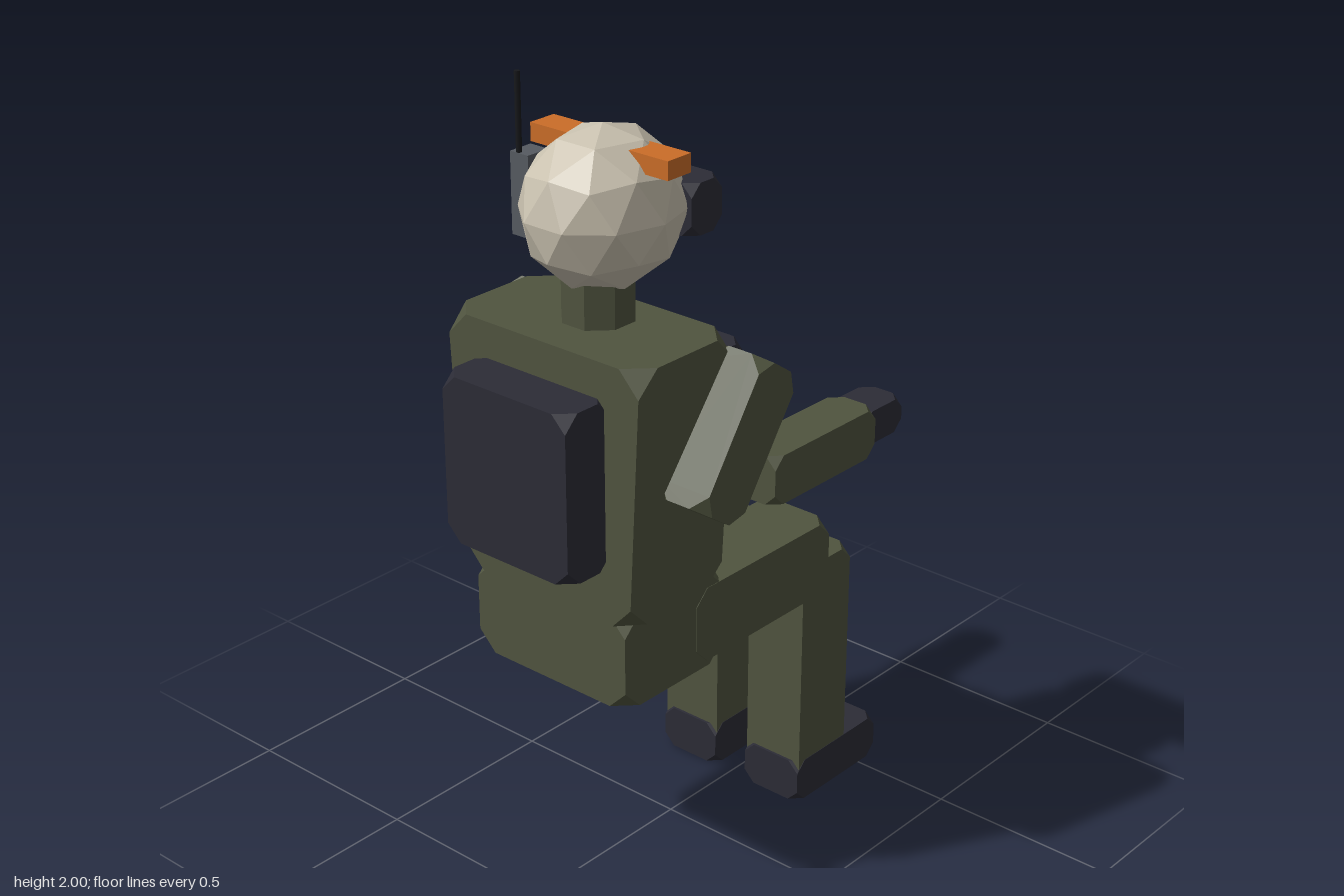
import * as THREE from 'three';
import { ConvexGeometry } from 'three/addons/geometries/ConvexGeometry.js';

const mat = (name, color) => {
  const m = new THREE.MeshStandardMaterial({ color });
  m.name = name;
  return m;
};

// Box between two corners with its eight corners cut off; taper narrows the bottom in x
function cutBox(min, max, cut, taper = 1) {
  const c = min.map((v, i) => (v + max[i]) / 2);
  const h = min.map((v, i) => (max[i] - v) / 2);
  const points = [];
  for (const sx of [-1, 1]) for (const sy of [-1, 1]) for (const sz of [-1, 1]) {
    for (let axis = 0; axis < 3; axis++) {
      const p = [sx * h[0], sy * h[1], sz * h[2]];
      p[axis] -= Math.sign(p[axis]) * cut;
      const t = p[1] / h[1] * 0.5 + 0.5;
      p[0] *= taper + (1 - taper) * t;
      points.push(new THREE.Vector3(...p));
    }
  }
  const g = new ConvexGeometry(points);
  g.userData.center = c;
  return g;
}

export function createModel() {
  const model = new THREE.Group();
  model.name = 'seatedFigure';

  const green = mat('olive cloth', 0x50543f);
  const dark = mat('dark gear', 0x2c2c36);
  const bone = mat('pale helmet', 0xc9c1af);
  const orange = mat('orange marker', 0xcb6d28);
  const grey = mat('grey metal', 0x565b61);
  const black = mat('black antenna', 0x17181b);

  const add = (name, geometry, material, pos) => {
    const mesh = new THREE.Mesh(geometry, material);
    mesh.name = name;
    mesh.position.set(...pos);
    model.add(mesh);
    return mesh;
  };
  const block = (name, material, min, max, cut, taper) => {
    const g = cutBox(min, max, cut, taper);
    return add(name, g, material, g.userData.center);
  };
  const plain = (name, material, min, max) => add(name,
    new THREE.BoxGeometry(...min.map((v, i) => max[i] - v)), material,
    min.map((v, i) => (v + max[i]) / 2));

  // Body
  block('torso', green, [-0.295, 0.81, 0.12], [0.295, 1.46, 0.44], 0.06, 0.885);
  block('pelvis', green, [-0.237, 0.585, 0.08], [0.237, 0.83, 0.43], 0.05);
  block('chestVest', dark, [-0.28, 1.05, 0.063], [0.28, 1.42, 0.16], 0.035);
  block('backpack', dark, [-0.19, 0.95, 0.42], [0.19, 1.37, 0.565], 0.04);
  plain('chestMarker', orange, [0.115, 1.28, 0.03], [0.2, 1.35, 0.07]);

  // Neck and faceted head
  const neck = new THREE.CylinderGeometry(0.09, 0.09, 0.14, 8).rotateY(Math.PI / 8).toNonIndexed();
  neck.computeVertexNormals();
  add('neck', neck, green, [0, 1.5, 0.25]);
  const head = new THREE.IcosahedronGeometry(1, 1)
    .rotateZ(Math.atan2(2, 1 + Math.sqrt(5))).rotateY(-Math.PI / 2)
    .scale(0.184, 0.195, 0.207);
  head.computeVertexNormals();
  add('head', head, bone, [0, 1.72, 0.228]);

  // Head gear
  block('visor', dark, [-0.165, 1.65, 0.013], [0.165, 1.775, 0.118], 0.03);
  plain('radio', grey, [-0.236, 1.61, 0.215], [-0.18, 1.81, 0.282]);
  add('antenna', new THREE.CylinderGeometry(0.007, 0.007, 0.23, 8), black, [-0.214, 1.885, 0.275]);

  for (const [side, s] of [['left', 1], ['right', -1]]) {
    const limb = (name, material, x0, x1, y0, y1, z0, z1, cut) =>
      block(side + name, material,
        [Math.min(s * x0, s * x1), y0, z0], [Math.max(s * x0, s * x1), y1, z1], cut);

    // Head marker
    plain(side + 'HeadMarker', orange,
      [Math.min(s * 0.08, s * 0.206), 1.83, 0.168], [Math.max(s * 0.08, s * 0.206), 1.875, 0.245]);

    // Arm
    const upper = limb('UpperArm', green, 0.25, 0.396, 1.0485, 1.4215, 0.101, 0.253, 0.04);
    upper.rotation.x = -0.604;
    limb('Forearm', green, 0.252, 0.376, 1.025, 1.15, -0.315, 0.065, 0.03);
    limb('Hand', dark, 0.246, 0.357, 1.043, 1.13, -0.447, -0.3, 0.028);

    // Leg
    limb('Thigh', green, 0.038, 0.238, 0.6, 0.797, -0.328, 0.18, 0.04);
    limb('Shin', green, 0.052, 0.226, 0.03, 0.682, -0.434, -0.245, 0.035);
    limb('Foot', dark, 0.051, 0.227, 0, 0.117, -0.566, -0.238, 0.03);
  }
  return model;
}
